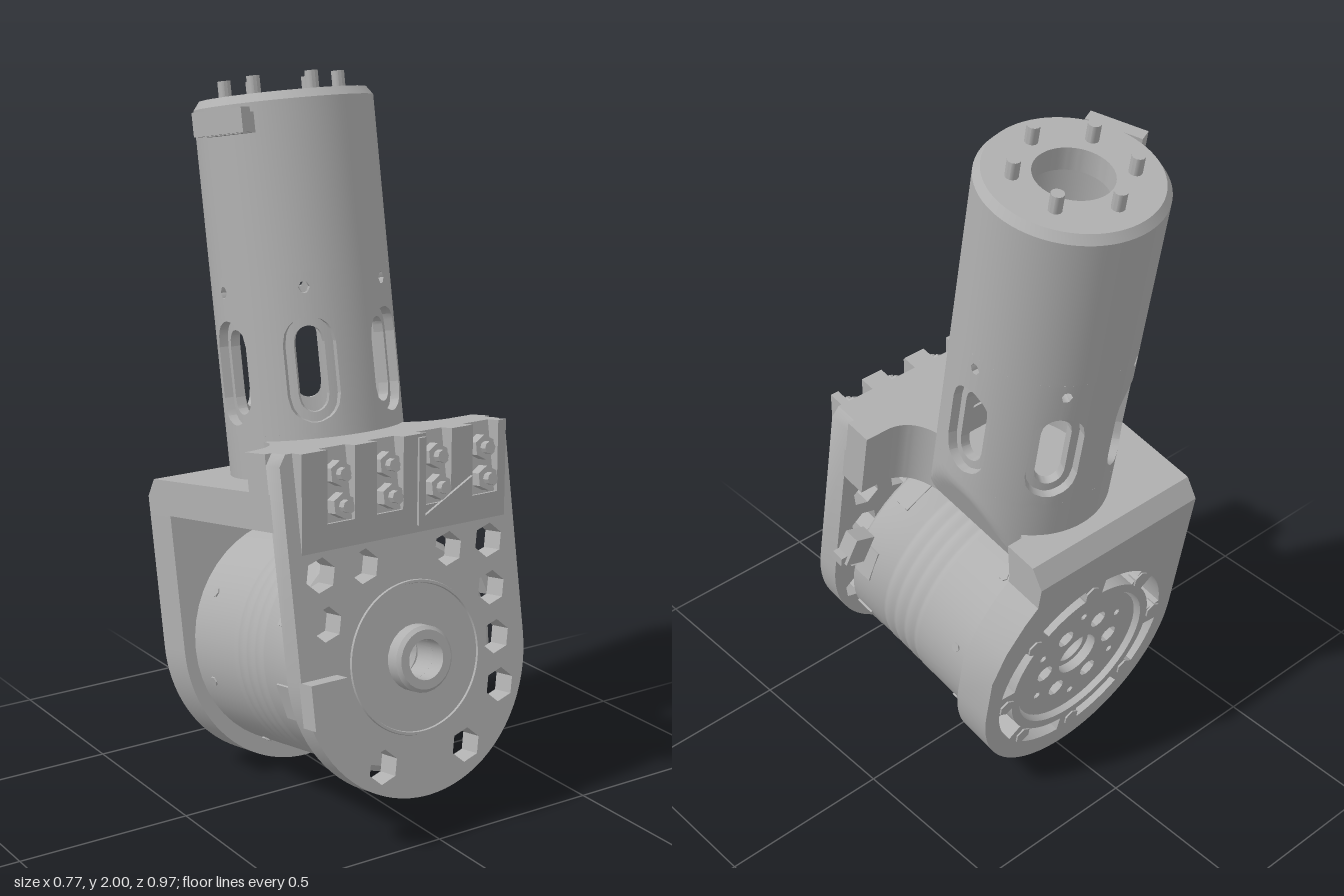
import * as THREE from 'three';
import { mergeGeometries, toCreasedNormals } from 'three/addons/utils/BufferGeometryUtils.js';

const metal = new THREE.MeshStandardMaterial({ color: 0xb0b0b0 });
metal.name = 'grey metal';

function add(parent, name, geo, x = 0, y = 0, z = 0) {
  const mesh = new THREE.Mesh(toCreasedNormals(geo, 0.6), metal);
  mesh.name = name;
  mesh.position.set(x, y, z);
  parent.add(mesh);
  return mesh;
}
const shapeOf = pts => new THREE.Shape(pts.map(p => new THREE.Vector2(...p)));
const extrude = (shape, depth, curveSegments = 16) =>
  new THREE.ExtrudeGeometry(shape, { depth, bevelEnabled: false, curveSegments });
const lathe = (pts, n = 72) => new THREE.LatheGeometry(pts.map(p => new THREE.Vector2(...p)), n);
// closed profile, revolved round the front-back axis
const turned = (pts, n) => lathe(pts, n).rotateX(Math.PI / 2);
const rod = (r, len, n = 12) => new THREE.CylinderGeometry(r, r, len, n);
const pin = (r, len, n) => rod(r, len, n).rotateX(Math.PI / 2);
const polyHole = (x, y, r, n = 6) => new THREE.Path(Array.from({ length: n }, (_, i) => {
  const a = (i / n) * Math.PI * 2 + 0.3;
  return new THREE.Vector2(x + r * Math.cos(a), y + r * Math.sin(a));
}));

const AXIS = 0.42, HALF = 0.36;   // motor axis height, half width of the body
const TUBE_R = 0.247, TUBE_IN = 0.195;

// plate with a round lower end; top is the outline from right to left
function tombstone(top) {
  const s = new THREE.Shape();
  s.moveTo(-HALF, AXIS);
  s.absellipse(0, AXIS, HALF, 0.378, Math.PI, Math.PI * 2, false);
  top.forEach(p => s.lineTo(...p));
  s.closePath();
  return s;
}

// ring of wall columns that leave six long slots (half width w) and six small holes
function slottedBand(bottom, top, rIn, rOut, w) {
  const sector = TUBE_R * Math.PI / 3, geos = [];
  const holes = [{ y: 1.2, w, h: 0.07 }, { y: 1.42, w: 0.016, h: 0 }];
  const half = [0, 0.008, 0.016, 0.55 * w, 0.75 * w, 0.9 * w, w, 0.085, 0.105, sector / 2];
  const cuts = [...half.slice(1).reverse().map(v => -v), ...half];
  for (let k = 0; k < 6; k++) {
    const mid = Math.PI / 6 + k * Math.PI / 3;
    for (let i = 0; i < cuts.length - 1; i++) {
      const [s0, s1] = [cuts[i], cuts[i + 1]];
      let lo = [bottom, bottom];
      const piece = hi => {
        const g = extrude(shapeOf([[s0, lo[0]], [s1, lo[1]], [s1, hi[1]], [s0, hi[0]]]), rOut - rIn);
        const p = g.attributes.position;
        for (let j = 0; j < p.count; j++) {
          const a = mid + p.getX(j) / TUBE_R, r = rIn + p.getZ(j);
          p.setXYZ(j, r * Math.sin(a), p.getY(j), r * Math.cos(a));
        }
        geos.push(g);
      };
      for (const q of holes) {
        if (Math.abs(s0 + s1) / 2 > q.w) continue;
        const d = [s0, s1].map(s => q.h + Math.sqrt(Math.max(0, q.w * q.w - s * s)));
        piece(d.map(v => q.y - v));
        lo = d.map(v => q.y + v);
      }
      piece([top, top]);
    }
  }
  return mergeGeometries(geos);
}

// foot of the tube, cut by a slanting plane on its +x side
function tubeFoot() {
  const pts = [[0, 0.81]];
  for (let i = 0; i <= 10; i++) pts.push([TUBE_R, 0.81 + i * 0.022]);
  const geo = lathe(pts), p = geo.attributes.position;
  for (let i = 0; i < p.count; i++) p.setX(i, Math.min(p.getX(i), 0.171 + (p.getY(i) - 0.81) * 0.42));
  return geo;
}

function buildTube(body) {
  const tube = new THREE.Group();
  tube.name = 'tube';
  tube.position.set(0.007, 0, 0.092);
  body.add(tube);
  add(tube, 'tubeUpper', lathe([[TUBE_R, 1.46], [TUBE_R, 1.915], [0.23, 1.938], [0.105, 1.938],
    [0.105, 1.87], [TUBE_IN, 1.87], [TUBE_IN, 1.46]]));
  // slots are wider outside than inside
  add(tube, 'slottedSkin', slottedBand(1.03, 1.46, 0.222, TUBE_R, 0.072));
  add(tube, 'slottedLining', slottedBand(1.03, 1.46, TUBE_IN, 0.222, 0.046));
  add(tube, 'tubeFoot', tubeFoot());
  add(tube, 'tubeFloor', lathe([[TUBE_IN, 1.03], [TUBE_IN, 0.92], [0, 0.915]]));
  for (let i = 0; i < 6; i++) {
    const a = i * Math.PI / 3;
    add(tube, 'topPin', rod(0.018, 0.07), 0.156 * Math.sin(a), 1.953, 0.156 * Math.cos(a));
  }
  // cable connector on the side of the tube
  const plug = new THREE.Group();
  plug.name = 'cableConnector';
  plug.rotation.y = -1.15;
  tube.add(plug);
  add(plug, 'connectorBase', new THREE.BoxGeometry(0.13, 0.055, 0.07), 0, 1.863, 0.26);
  add(plug, 'connectorHead', new THREE.BoxGeometry(0.16, 0.065, 0.04), 0, 1.87, 0.295);
}

function buildYoke(body) {
  // shelf and bolt block are outlined in (x, -z) and raised upward
  const shelf = new THREE.Shape();
  shelf.moveTo(-HALF, -0.435);
  shelf.lineTo(HALF, -0.435);
  shelf.lineTo(HALF, -0.35);
  shelf.lineTo(0.28, -0.35);
  shelf.quadraticCurveTo(0.19, -0.34, 0.165, -0.26);
  shelf.lineTo(0.165, 0.07);
  shelf.quadraticCurveTo(0.18, 0.12, 0.23, 0.13);
  shelf.lineTo(0.23, 0.2);
  shelf.lineTo(-HALF, 0.2);
  shelf.closePath();
  add(body, 'yokeShelf', extrude(shelf, 0.1).rotateX(-Math.PI / 2), 0, 0.81, 0);

  const block = new THREE.Shape();
  block.moveTo(-HALF, -0.43);
  block.lineTo(HALF, -0.43);
  block.lineTo(HALF, -0.35);
  block.lineTo(0.28, -0.35);
  block.quadraticCurveTo(0.2, -0.34, 0.18, -0.24);
  block.lineTo(0.12, -0.28);
  block.lineTo(-0.12, -0.28);
  block.lineTo(-0.22, -0.19);
  block.quadraticCurveTo(-0.24, -0.32, -HALF, -0.33);
  block.closePath();
  add(body, 'boltBlock', extrude(block, 0.205).rotateX(-Math.PI / 2), 0, 0.81, 0);

  // rear plate with a ring of curved slots and the motor window, its +x shoulder trimmed round the motor
  const rear = tombstone([[HALF, 0.56], [0.325, 0.66], [0.27, 0.745], [0.23, 0.79], [0.23, 0.86], [-HALF, 0.86]]);
  rear.holes.push(new THREE.Path().absarc(0, AXIS, 0.235, 0, Math.PI * 2, true));
  for (let i = 0; i < 8; i++) {
    const a = i * Math.PI / 4 + 0.12, b = a + 0.54;
    const slot = new THREE.Path();
    slot.absarc(0, AXIS, 0.31, a, b, false);
    slot.absarc(0, AXIS, 0.262, b, a, true);
    slot.closePath();
    rear.holes.push(slot);
  }
  add(body, 'rearPlate', extrude(rear, 0.12, 24), 0, 0, -0.244);
  const chamfer = shapeOf([[0.244, 0.86], [0.2, 0.91], [0.1, 0.91], [0.124, 0.81], [0.244, 0.81]]);
  add(body, 'rearTopEdge', extrude(chamfer, HALF + 0.23).rotateY(Math.PI / 2), -HALF, 0, 0);
  for (let i = 0; i < 8; i++) {
    const a = i * Math.PI / 4 - 0.05;
    add(body, 'rearBolt', pin(0.026, 0.03, 6), 0.285 * Math.cos(a), AXIS + 0.285 * Math.sin(a), -0.234);
  }
}

function buildMotor(body) {
  const motor = new THREE.Group();
  motor.name = 'motor';
  motor.position.y = AXIS;
  body.add(motor);
  // housing with shallow turned grooves
  const profile = [[0.06, -0.16], [0.325, -0.16], [0.325, 0.09]];
  for (let z = 0.1; z < 0.25; z += 0.045) {
    profile.push([0.325, z], [0.321, z + 0.008], [0.321, z + 0.016], [0.325, z + 0.024]);
  }
  profile.push([0.325, 0.385], [0.308, 0.4], [0.07, 0.4], [0.06, 0.39], [0.06, -0.16]);
  add(motor, 'motorHousing', turned(profile, 48));

  // output disc at the rear with bolt holes
  const disc = new THREE.Shape().absarc(0, 0, 0.225, 0, Math.PI * 2, false);
  disc.holes.push(polyHole(0, 0, 0.07, 20));
  for (let i = 0; i < 6; i++) {
    const a = i * Math.PI / 3;
    disc.holes.push(polyHole(0.125 * Math.cos(a), 0.125 * Math.sin(a), 0.028, 10));
    disc.holes.push(polyHole(0.165 * Math.cos(a + 0.5), 0.165 * Math.sin(a + 0.5), 0.012, 6));
  }
  add(motor, 'outputDisc', extrude(disc, 0.07, 24), 0, 0, -0.228);
  add(motor, 'outputHub', turned([[0.05, -0.2], [0.07, -0.2], [0.07, -0.15], [0.05, -0.15], [0.05, -0.2]], 20));

  // clamps and screws round the rim
  for (let i = 0; i < 8; i++) {
    const a = i * Math.PI / 4 + 0.25;
    const clamp = add(motor, 'rimClamp', new THREE.BoxGeometry(0.03, 0.1, 0.06),
      0.312 * Math.cos(a), 0.312 * Math.sin(a), 0.345);
    clamp.rotation.z = a;
    const screw = add(motor, 'rimScrew', rod(0.014, 0.02, 6), 0.319 * Math.cos(a), 0.319 * Math.sin(a), -0.05);
    screw.rotation.z = a - Math.PI / 2;
  }
  const socket = add(motor, 'motorSocket', new THREE.BoxGeometry(0.07, 0.09, 0.05), 0.35, 0.15, 0.365);
  socket.rotation.z = 0.35;
  add(motor, 'socketTab', new THREE.BoxGeometry(0.06, 0.03, 0.04), 0.38, 0.13, 0.37);
}

function buildFrontPlate(body) {
  const plate = new THREE.Group();
  plate.name = 'frontPlate';
  plate.position.z = 0.428;
  body.add(plate);
  const THICK = 0.07, TOP = 1.015, RISE = 0.047, FOOT = 0.75, SILL = 0.82;
  const openings = [[0.265, 0.424], [0.265, 0.29]];
  for (const s of [-1, 1]) openings.push([s * 0.27, 0.69], [s * 0.135, 0.69], [s * 0.265, 0.56], [s * 0.135, 0.15]);
  const outline = tombstone([[HALF, TOP - 0.03], [HALF - 0.02, TOP], [-HALF + 0.02, TOP], [-HALF, TOP - 0.03]]);
  openings.forEach(([x, y]) => outline.holes.push(polyHole(x, y, 0.047)));
  outline.holes.push(polyHole(0, AXIS, 0.055, 20));
  add(plate, 'plate', extrude(outline, THICK, 20));

  // upper face swells outward between the bolt pockets
  const swell = y => -THICK - RISE * (y - FOOT) / (TOP - FOOT);
  const wedge = (name, x0, x1, y0, y1) => add(plate, name, extrude(shapeOf(
    [[swell(y0), y0], [-THICK + 0.002, y0], [-THICK + 0.002, y1], [swell(y1), y1]]), x1 - x0).rotateY(Math.PI / 2), x0);
  const pockets = [-0.2, -0.047, 0.108, 0.262];
  wedge('pocketSill', -0.32, 0.33, FOOT, SILL);
  const walls = [-0.32, ...pockets.flatMap(x => [x - 0.042, x + 0.042]), 0.33];
  for (let i = 0; i < walls.length; i += 2) wedge('pocketWall', walls[i], walls[i + 1], SILL, TOP);

  // two hex bolts in every pocket
  for (const x of pockets) for (const y of [0.947, 0.863]) {
    add(plate, 'hexBolt', pin(0.034, 0.035, 6), x, y, THICK + 0.0175);
    add(plate, 'boltTip', pin(0.017, 0.025, 8), x, y, THICK + 0.045);
  }
  // bearing cover and hub
  add(plate, 'coverRing', turned([[0.197, 0.066], [0.21, 0.066], [0.207, 0.076], [0.2, 0.076], [0.197, 0.066]]), 0, AXIS, 0);
  add(plate, 'hub', turned([[0.055, 0], [0.09, 0], [0.09, 0.108], [0.08, 0.118], [0.055, 0.118], [0.055, 0]], 24), 0, AXIS, 0);
  add(plate, 'sidePad', new THREE.BoxGeometry(0.11, 0.12, 0.06), -0.305, 0.364, 0.09);
  const tag = shapeOf([[0.04, 0.26], [0.04, 0.02], [0.06, 0.015], [0.215, 0.105], [0.215, 0.13], [0.062, 0.045], [0.062, 0.26]]);
  add(plate, 'pointerTag', extrude(tag, 0.008), 0, FOOT, THICK).rotation.x = Math.atan(RISE / (TOP - FOOT));
}

export function createModel() {
  const model = new THREE.Group();
  model.name = 'actuatorJoint';
  const body = new THREE.Group();
  body.name = 'tiltedBody';
  body.position.x = -0.025;
  body.rotation.x = THREE.MathUtils.degToRad(-10);
  model.add(body);
  buildTube(body);
  buildYoke(body);
  buildMotor(body);
  buildFrontPlate(body);
  return model;
}
